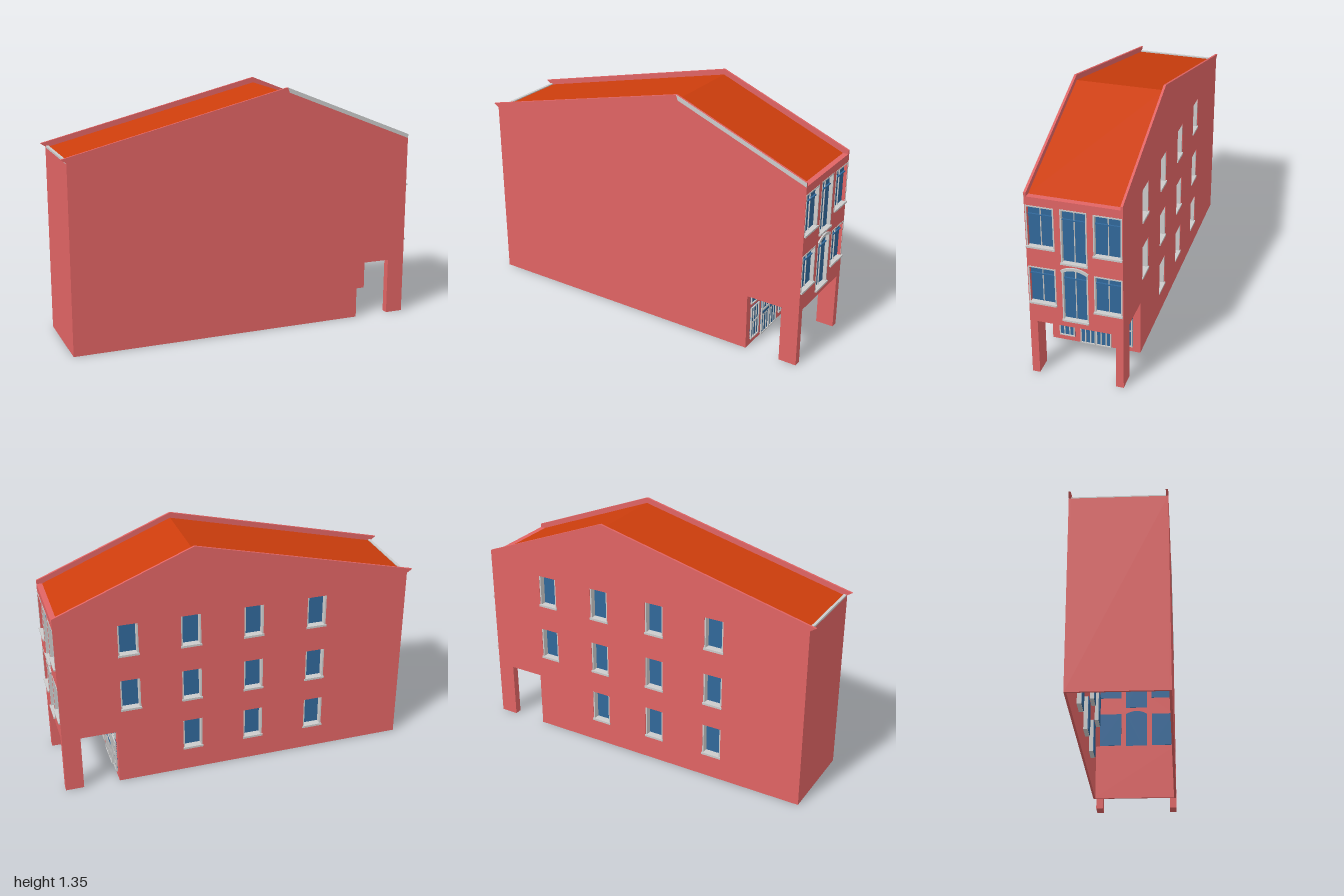
import * as THREE from 'three';

const mat = (color) => new THREE.MeshStandardMaterial({ color, flatShading: true, side: THREE.DoubleSide });
const WALL = mat(0xe06464), ROOF = mat(0xcc3d0c), GLASS = mat(0x31689a), TRIM = mat(0xcccccc);
const HALF = 0.245, SKIN = 0.012; // half depth of the house, thickness of its walls

function add(parent, name, geometry, material) {
  const mesh = new THREE.Mesh(geometry, material);
  mesh.name = name;
  parent.add(mesh);
  return mesh;
}

// Box given by its limits
function box(parent, name, material, x0, x1, y0, y1, z0, z1) {
  const g = new THREE.BoxGeometry(x1 - x0, y1 - y0, z1 - z0);
  g.translate((x0 + x1) / 2, (y0 + y1) / 2, (z0 + z1) / 2);
  return add(parent, name, g, material);
}

const outline = (points) => new THREE.Shape(points.map(([x, y]) => new THREE.Vector2(x, y)));
const rect = (x0, x1, y0, y1) => outline([[x0, y0], [x1, y0], [x1, y1], [x0, y1]]);

// Extrusion of a flat shape between two z planes
function slab(parent, name, material, shape, z0, z1) {
  const g = new THREE.ExtrudeGeometry(shape, { depth: z1 - z0, bevelEnabled: false, curveSegments: 10 });
  g.translate(0, 0, z0);
  return add(parent, name, g, material);
}

// Rectangular border with one opening
function border(parent, name, x0, x1, y0, y1, t, z0, z1) {
  const s = rect(x0, x1, y0, y1);
  s.holes.push(rect(x0 + t, x1 - t, y0 + t, y1 - t));
  return slab(parent, name, TRIM, s, z0, z1);
}

function group(parent, name) {
  const g = new THREE.Group();
  g.name = name;
  parent.add(g);
  return g;
}

// Long side profile with the passage notch; flip = -1 mirrors it in x
const sideProfile = (flip) => outline([
  [-0.97, 0], [0.69, 0], [0.69, 0.32], [0.89, 0.32], [0.89, 0], [0.99, 0],
  [0.99, 1.05], [0.24, 1.35], [-1, 1.05], [-0.97, 1.03],
].map(([x, y]) => [x * flip, y]));

// Segmental arch-topped shape
function archShape(w, y0, spring, rise) {
  const r = (w * w + rise * rise) / (2 * rise);
  const a = Math.asin(w / r);
  const s = new THREE.Shape();
  s.moveTo(-w, y0);
  s.lineTo(w, y0);
  s.lineTo(w, spring);
  s.absarc(0, spring + rise - r, r, Math.PI / 2 - a, Math.PI / 2 + a, false);
  s.lineTo(-w, y0);
  return s;
}

function buildBackWall(parent) {
  const wall = group(parent, 'backWall');
  wall.rotation.y = Math.PI;
  const shape = sideProfile(-1);
  const windows = group(wall, 'backWindows');
  [-0.605, -0.265, 0.085, 0.445].forEach((cx, i) => {
    [0.135, 0.45, 0.78].forEach((y0, row) => {
      if (i === 0 && row === 0) return; // the passage is here
      const x0 = cx - 0.055, x1 = cx + 0.055, y1 = y0 + 0.185, zi = HALF - 0.035;
      shape.holes.push(rect(x0, x1, y0, y1));
      const w = group(windows, 'backWindow');
      box(w, 'glass', GLASS, x0, x1, y0, y1, zi - 0.004, zi);
      box(w, 'lintelReveal', WALL, x0, x1, y1 - 0.003, y1, zi, HALF - 0.001);
      for (const [a, b] of [[x0, x0 + 0.008], [x1 - 0.008, x1]]) {
        box(w, 'jamb', TRIM, a, b, y0, y1 - 0.003, zi, HALF - 0.002);
      }
      box(w, 'sill', TRIM, x0 - 0.003, x1 + 0.003, y0 - 0.004, y0 + 0.008, zi, HALF + 0.005);
    });
  });
  slab(wall, 'backWallPanel', WALL, shape, HALF - SKIN, HALF);
}

function buildFacade(parent) {
  // Local x runs to the right as seen from the street, local z points outward
  const facade = group(parent, 'streetFacade');
  facade.rotation.y = Math.PI / 2;
  facade.position.x = 0.99;
  const shape = rect(-HALF, HALF, 0.32, 1.03);

  const sash = (x0, x1, y0, y1, transom, arched) => {
    const w = group(facade, arched ? 'archedWindow' : 'facadeWindow');
    const t = 0.007, inner = -0.018;
    if (arched) {
      const rise = 0.02;
      shape.holes.push(archShape(x1, y0, y1, rise));
      slab(w, 'glass', GLASS, archShape(x1, y0, y1, rise), inner - 0.004, inner);
      const frame = archShape(x1, y0, y1, rise);
      frame.holes.push(archShape(x1 - t, y0 + t, y1 - 0.002, rise - 0.004));
      slab(w, 'frame', TRIM, frame, inner, 0.002);
      // Curved hood above the window
      const hood = new THREE.Shape();
      const r = 0.125, cy = 0.672 - r, a = 0.61;
      hood.absarc(0, cy, r, Math.PI / 2 - a, Math.PI / 2 + a, false);
      hood.absarc(0, cy - 0.003, r - 0.012, Math.PI / 2 + a, Math.PI / 2 - a, true);
      slab(w, 'archHood', TRIM, hood, 0, 0.008);
    } else {
      shape.holes.push(rect(x0, x1, y0, y1));
      box(w, 'glass', GLASS, x0, x1, y0, y1, inner - 0.004, inner);
      border(w, 'frame', x0, x1, y0, y1, t, inner, 0.002);
    }
    const cx = (x0 + x1) / 2;
    box(w, 'mullion', TRIM, cx - 0.002, cx + 0.002, y0, y1, inner, inner + 0.006);
    box(w, 'transom', GLASS, x0 + t, x1 - t, transom - 0.003, transom + 0.003, inner, inner + 0.009);
    box(w, 'sill', TRIM, x0 - 0.002, x1 + 0.002, y0 - 0.003, y0 + 0.007, inner, 0.01);
  };

  for (const [x0, x1] of [[-0.241, -0.098], [0.098, 0.241]]) {
    sash(x0, x1, 0.755, 0.985, 0.932, false);
    sash(x0, x1, 0.432, 0.645, 0.6, false);
  }
  sash(-0.067, 0.067, 0.688, 0.988, 0.928, false);
  sash(-0.067, 0.067, 0.358, 0.645, 0.6, true);
  slab(facade, 'facadePanel', WALL, shape, -0.02, 0);
}

function buildEntrance(parent) {
  const entry = group(parent, 'entrance');
  entry.rotation.y = Math.PI / 2;
  entry.position.x = 0.69;
  box(entry, 'entranceWall', WALL, -HALF + 0.001, HALF - 0.001, 0, 0.32, -0.012, 0);

  // Glazed panel with evenly spaced upright bars
  const panel = (name, x0, x1, y0, y1, panes, t = 0.006) => {
    const p = group(entry, name);
    box(p, 'glass', GLASS, x0, x1, y0, y1, 0, 0.003);
    border(p, 'frame', x0, x1, y0, y1, t, 0, 0.009);
    for (let i = 1; i < panes; i++) {
      const x = x0 + ((x1 - x0) * i) / panes;
      box(p, 'glazingBar', TRIM, x - 0.003, x + 0.003, y0 + t, y1 - t, 0, 0.007);
    }
    return p;
  };

  for (const s of [-1, 1]) {
    const span = (a, b) => (s < 0 ? [-b, -a] : [a, b]);
    panel('sideToplight', ...span(0.1, 0.207), 0.252, 0.318, 1, 0.005);
    const [wx0, wx1] = span(0.118, 0.203);
    const side = panel('sideWindow', wx0, wx1, 0.032, 0.228, 3);
    box(side, 'crossBar', TRIM, wx0, wx1, 0.128, 0.135, 0, 0.007);
    // Door leaf: tall panes above and below a middle panel
    const [dx0, dx1] = span(0.001, 0.086);
    const leaf = panel('doorLeaf', dx0, dx1, 0.003, 0.25, 3);
    box(leaf, 'middleRail', TRIM, dx0, dx1, 0.12, 0.154, 0, 0.008);
    box(leaf, 'middlePanel', GLASS, dx0 + 0.007, dx1 - 0.007, 0.129, 0.145, 0, 0.009);
  }
  panel('doorToplight', -0.086, 0.086, 0.252, 0.318, 1, 0.005);
}

export function createModel() {
  const house = new THREE.Group();
  house.name = 'townHouse';

  // Outer walls, open at the base
  slab(house, 'frontWall', WALL, sideProfile(1), HALF - SKIN, HALF);
  buildBackWall(house);
  box(house, 'endWall', WALL, -0.97, -0.958, 0, 1.03, -HALF + 0.001, HALF - 0.001);
  buildFacade(house);

  // Passage under the street end
  box(house, 'passageCeiling', WALL, 0.69, 0.989, 0.32, 0.33, -HALF + 0.001, HALF - 0.001);
  for (const s of [-1, 1]) {
    box(house, 'cornerPillar', WALL, 0.89, 0.99, 0, 0.32, s < 0 ? -HALF : 0.205, s < 0 ? -0.205 : HALF);
  }
  buildEntrance(house);

  // Roof sunk between the two gable parapets
  const inside = HALF - SKIN;
  slab(house, 'roof', ROOF, outline([
    [-0.957, 1.03], [-0.957, 1.02], [0.24, 1.31], [0.96, 1.02], [0.96, 1.03], [0.24, 1.32],
  ]), -inside, inside);
  box(house, 'eavesLedge', WALL, 0.96, 0.989, 1.018, 1.03, -inside, inside);
  box(house, 'gutter', TRIM, -0.97, -0.955, 1.025, 1.036, -inside, inside);

  // Pale coping along the street-side slope of the front gable
  slab(house, 'gableCoping', TRIM, outline([[0.24, 1.35], [0.25, 1.322], [0.99, 1.027], [0.99, 1.05]]), HALF, HALF + 0.002);
  return house;
}
